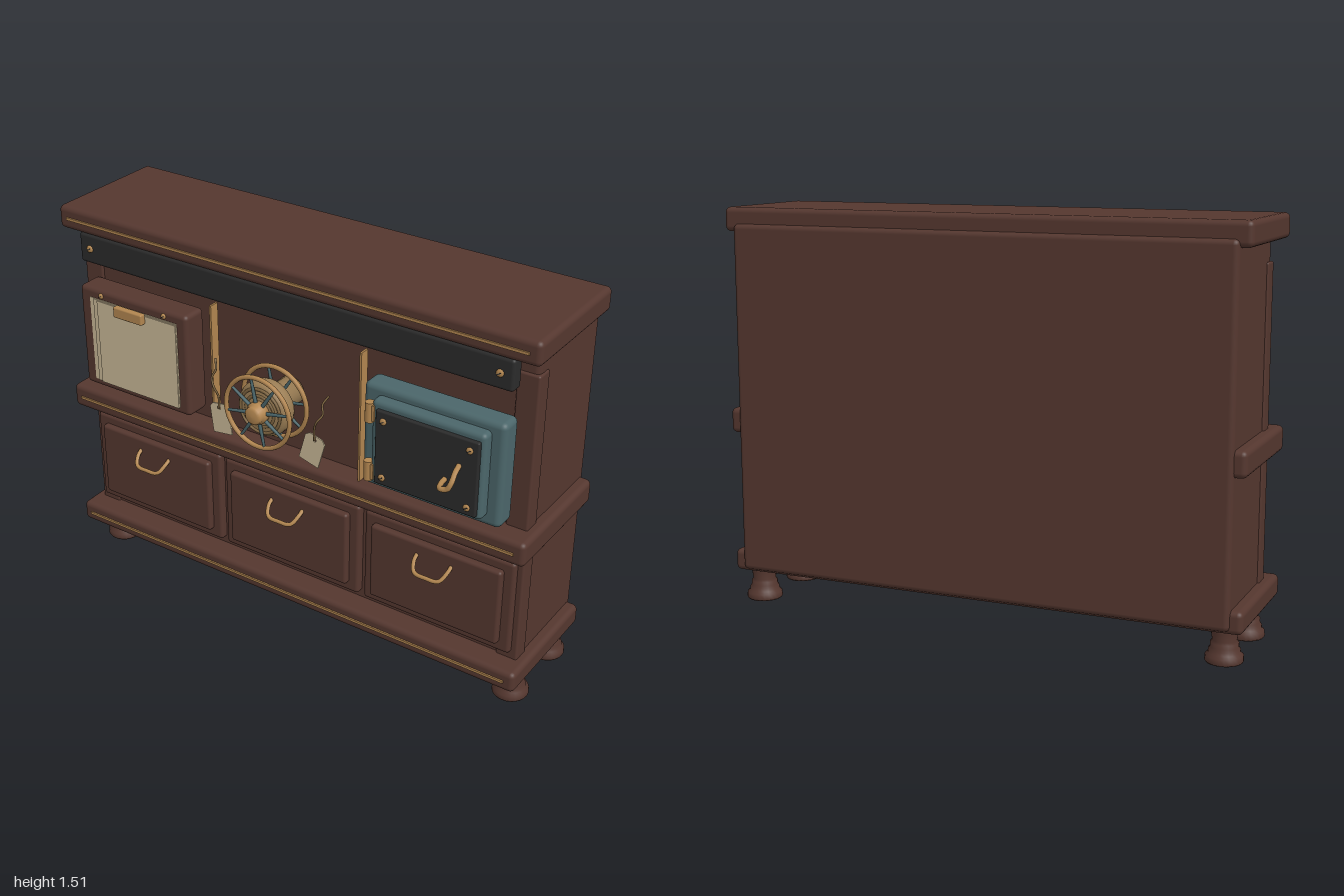
import * as THREE from 'three';
import { RoundedBoxGeometry } from 'three/addons/geometries/RoundedBoxGeometry.js';

export function createModel() {
  const root = new THREE.Group();
  root.name = 'cabinet';
  const material = (name, color) => {
    const m = new THREE.MeshStandardMaterial({ color });
    m.name = name;
    return m;
  };
  const wood = material('dark wood', 0x55372f);
  const brass = material('brass', 0xb28650);
  const iron = material('black iron', 0x2b2b2b);
  const teal = material('teal enamel', 0x4b666a);
  const paper = material('paper', 0xcab997);
  const twine = material('wound twine', 0x9a7d54);
  const cord = material('cord', 0x7d6440);

  const add = (name, geometry, mat, x = 0, y = 0, z = 0, parent = root) => {
    const mesh = new THREE.Mesh(geometry, mat);
    mesh.name = name;
    mesh.position.set(x, y, z);
    parent.add(mesh);
    return mesh;
  };
  // Box given by its limits; r > 0 rounds the edges
  const block = (name, mat, x0, x1, y0, y1, z0, z1, r = 0) => {
    const s = [x1 - x0, y1 - y0, z1 - z0];
    const g = r ? new RoundedBoxGeometry(...s, 3, r) : new THREE.BoxGeometry(...s);
    return add(name, g, mat, (x0 + x1) / 2, (y0 + y1) / 2, (z0 + z1) / 2);
  };
  const lathe = (points, n = 24) =>
    new THREE.LatheGeometry(points.map(([r, y]) => new THREE.Vector2(r, y)), n);
  const tube = (name, mat, points, r, parent = root) => {
    const curve = new THREE.CatmullRomCurve3(points.map(p => new THREE.Vector3(...p)), false, 'centripetal');
    return add(name, new THREE.TubeGeometry(curve, 24, r, 8), mat, 0, 0, 0, parent);
  };
  // Domed screw head with a dark slot, facing +z
  const screw = (x, y, z, r = 0.012) => {
    const g = lathe([[r, -0.012], [r, 0.002], [r * 0.7, 0.006], [0, 0.008]], 12);
    add('screw', g.rotateX(Math.PI / 2), brass, x, y, z);
    const slot = add('screwSlot', new THREE.BoxGeometry(r * 1.3, 0.003, 0.002), iron, x, y, z + 0.008);
    slot.rotation.z = 0.6;
  };

  // Carcass, corner posts and the three slabs with brass inlay
  block('carcass', wood, -0.957, 0.957, 0.13, 1.45, -0.345, 0.09, 0.02);
  for (const s of [-1, 1]) {
    block('cornerPost', wood, s * 0.922 - 0.042, s * 0.922 + 0.042, 0.105, 1.345, 0.03, 0.1, 0.008);
  }
  for (const [name, y0, y1] of [['baseSlab', 0.12, 0.203], ['counterSlab', 0.66, 0.755], ['topSlab', 1.42, 1.51]]) {
    block(name, wood, -1, 1, y0, y1, -0.33, 0.185, 0.02);
    const y = (y0 + y1) / 2;
    block('brassInlay', brass, -0.96, 0.96, y - 0.005, y + 0.005, 0.182, 0.191);
  }

  // Turned feet
  const footProfile = [[0, 0], [0.064, 0], [0.068, 0.006], [0.067, 0.025], [0.057, 0.034], [0.056, 0.046],
    [0.05, 0.055], [0.05, 0.07], [0.043, 0.078], [0.048, 0.11], [0.048, 0.13], [0, 0.13]];
  for (const x of [-0.92, 0.92]) for (const z of [-0.252, 0.035]) add('foot', lathe(footProfile), wood, x, 0, z);

  // Drawers with raised panels and bail handles
  for (const x of [-0.635, 0, 0.635]) {
    block('drawer', wood, x - 0.306, x + 0.306, 0.23, 0.617, 0.06, 0.12, 0.014);
    block('drawerPanel', wood, x - 0.266, x + 0.266, 0.27, 0.58, 0.1, 0.145, 0.012);
    tube('drawerHandle', brass, [[x - 0.07, 0.53, 0.14], [x - 0.068, 0.515, 0.165], [x - 0.05, 0.488, 0.193],
      [x, 0.485, 0.198], [x + 0.05, 0.488, 0.193], [x + 0.068, 0.515, 0.165], [x + 0.07, 0.53, 0.14]], 0.008);
  }

  // Iron rail under the top and brass dividers
  block('ironRail', iron, -0.91, 0.91, 1.305, 1.422, 0.125, 0.18, 0.012);
  for (const x of [-0.86, 0.86]) screw(x, 1.365, 0.182, 0.014);
  for (const x of [-0.323, 0.321]) block('divider', brass, x - 0.004, x + 0.004, 0.755, 1.267, 0.115, 0.155);

  // Notice board with stacked sheets and a clip
  block('noticeBoard', wood, -0.905, -0.395, 0.805, 1.22, 0.1, 0.205, 0.018);
  for (let i = 0; i < 3; i++) {
    const z = 0.204 + i * 0.004;
    block('sheet', paper, -0.855 + i * 0.02, -0.44, 0.835, 1.182 - i * 0.002, z, z + 0.003);
  }
  block('clip', brass, -0.715, -0.58, 1.147, 1.19, 0.214, 0.24, 0.006);
  for (const x of [-0.8, -0.5]) screw(x, 1.197, 0.206, 0.011);

  // Reel: wound drum between two rims, with spokes and a hub knob
  const reel = new THREE.Group();
  reel.name = 'reel';
  reel.position.set(-0.005, 1.0, 0);
  root.add(reel);
  const drum = lathe([[0, 0.1], [0.055, 0.1], [0.055, 0.213], [0.085, 0.216], [0.1, 0.225], [0.106, 0.24],
    [0.106, 0.268], [0.1, 0.283], [0.085, 0.293], [0, 0.297]], 32).rotateX(Math.PI / 2);
  add('drum', drum, twine, 0, 0, 0, reel);
  for (const r of [0.06, 0.085]) add('coil', new THREE.TorusGeometry(r, 0.006, 8, 40), cord, 0, 0, 0.293, reel);
  for (const z of [0.203, 0.308]) {
    add('rim', new THREE.TorusGeometry(0.137, 0.009, 8, 48), brass, 0, 0, z, reel);
    for (let i = 0; i < 8; i++) {
      const a = i * Math.PI / 4 + 0.2;
      const spoke = add('spoke', new THREE.CylinderGeometry(0.005, 0.008, 0.115, 8), teal,
        -Math.sin(a) * 0.078, Math.cos(a) * 0.078, z, reel);
      spoke.rotation.z = a;
    }
  }
  const hub = lathe([[0, 0.285], [0.042, 0.285], [0.042, 0.315], [0.034, 0.322], [0.034, 0.337], [0.025, 0.345], [0, 0.346]]);
  add('hub', hub.rotateX(Math.PI / 2), brass, 0, 0, 0, reel);

  // Paper tags on cords beside the reel
  for (const [s, x, y, tilt] of [[-1, -0.203, 0.893, 0.13], [1, 0.197, 0.898, -0.27]]) {
    const w = 0.042, h = 0.06;
    const shape = new THREE.Shape([[-w, -h], [w, -h], [w, h - 0.015], [w - 0.015, h], [-w + 0.015, h], [-w, h - 0.015]]
      .map(p => new THREE.Vector2(...p)));
    const hole = new THREE.Path();
    hole.absarc(0, h - 0.018, 0.006, 0, Math.PI * 2, true);
    shape.holes.push(hole);
    const tag = add('tag', new THREE.ExtrudeGeometry(shape, { depth: 0.005, bevelEnabled: false, curveSegments: 8 }),
      paper, x, y, 0.26);
    tag.rotation.z = tilt;
    tube('tagCord', cord, [[x - Math.sin(tilt) * 0.042, y + 0.042, 0.268], [s * 0.208, 0.985, 0.268],
      [s * 0.222, 1.02, 0.275], [s * 0.24, 1.05, 0.262], [s * 0.23, 1.08, 0.25], [s * 0.245, 1.112, 0.232]], 0.004);
  }

  // Enamelled door with iron panel, hinges and latch
  block('doorFrame', teal, 0.372, 0.915, 0.802, 1.203, 0.125, 0.215, 0.022);
  block('door', teal, 0.43, 0.865, 0.84, 1.17, 0.19, 0.256, 0.018);
  block('doorPanel', iron, 0.455, 0.85, 0.857, 1.143, 0.245, 0.27, 0.006);
  for (const x of [0.487, 0.817]) for (const y of [0.888, 1.107]) screw(x, y, 0.271, 0.013);
  for (const y of [0.888, 1.117]) {
    add('hinge', new THREE.CylinderGeometry(0.017, 0.017, 0.075, 16), brass, 0.421, y, 0.25);
    block('hingeLeaf', brass, 0.421, 0.445, y - 0.03, y + 0.03, 0.236, 0.26);
  }
  tube('latch', brass, [[0.78, 1.038, 0.268], [0.783, 1.025, 0.3], [0.784, 0.998, 0.325], [0.772, 0.975, 0.33],
    [0.745, 0.968, 0.328], [0.733, 0.968, 0.3], [0.73, 0.968, 0.268]], 0.01);
  return root;
}
